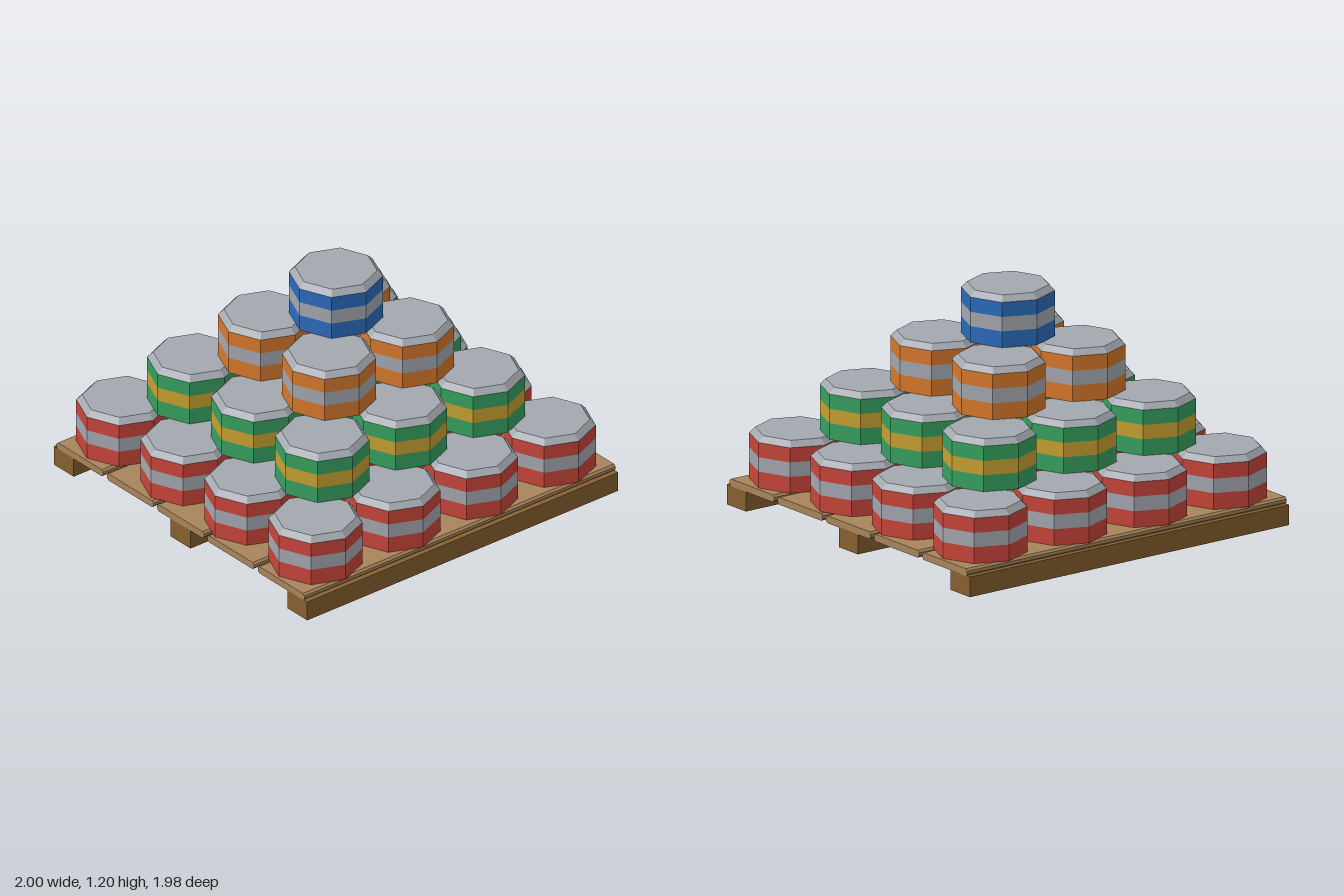
import * as THREE from 'three';

const flat = (name, color) => new THREE.MeshStandardMaterial({ name, color, flatShading: true });

export function createModel() {
  const mats = {
    metal: flat('metal grey', 0xa3a8af),
    red: flat('red paint', 0xc8453a),
    green: flat('green paint', 0x36a05f),
    yellow: flat('yellow paint', 0xc8a030),
    orange: flat('orange paint', 0xd6782c),
    blue: flat('blue paint', 0x2b6bbd),
    slat: flat('light wood', 0xa8845a),
    beam: flat('dark wood', 0x86602f),
  };

  const model = new THREE.Group();
  model.name = 'barrelPyramid';
  const add = (parent, name, geometry, material, x, y, z) => {
    const mesh = new THREE.Mesh(geometry, material);
    mesh.name = name;
    mesh.position.set(x, y, z);
    parent.add(mesh);
    return mesh;
  };

  // Pallet: three beams carrying five slats with bevelled long edges
  const pallet = new THREE.Group();
  pallet.name = 'pallet';
  model.add(pallet);
  const beamGeo = new THREE.BoxGeometry(2, 0.105, 0.156);
  for (const z of [-0.912, 0, 0.912]) add(pallet, 'beam', beamGeo, mats.beam, 0, 0.0525, z);

  const w = 0.182, h = 0.019, b = 0.011;
  const profile = new THREE.Shape([
    [-w, -h + b], [-w + b, -h], [w - b, -h], [w, -h + b],
    [w, h - b], [w - b, h], [-w + b, h], [-w, h - b],
  ].map(([x, y]) => new THREE.Vector2(x, y)));
  const slatGeo = new THREE.ExtrudeGeometry(profile, { depth: 2, bevelEnabled: false });
  slatGeo.translate(0, 0, -1).rotateY(Math.PI / 2);
  for (let i = -2; i <= 2; i++) add(pallet, 'slat', slatGeo, mats.slat, 0, 0.121, i * 0.393);

  // Octagonal barrel, with its base at y = 0
  const R = 0.235, RIM = 0.205, SIDES = 8, HEIGHT = 0.266;
  const levels = [0, 0.085, 0.16, 0.236, HEIGHT];
  const ring = (i, top) =>
    new THREE.CylinderGeometry(top, R, levels[i + 1] - levels[i], SIDES, 1, true);
  const bands = [ring(0, R), ring(1, R), ring(2, R), ring(3, RIM)];
  const discGeo = (r, up) =>
    new THREE.CircleGeometry(r, SIDES).rotateX(up ? -Math.PI / 2 : Math.PI / 2);
  const lidGeo = discGeo(RIM, true);
  const baseGeo = discGeo(R, false);

  function barrel(paint, stripe) {
    const group = new THREE.Group();
    group.name = 'barrel';
    const parts = [['lowerBand', paint], ['stripe', stripe], ['upperBand', paint], ['rim', mats.metal]];
    parts.forEach(([name, material], i) =>
      add(group, name, bands[i], material, 0, (levels[i] + levels[i + 1]) / 2, 0));
    add(group, 'lid', lidGeo, mats.metal, 0, HEIGHT, 0);
    add(group, 'base', baseGeo, mats.metal, 0, 0, 0);
    return group;
  }

  // Four square tiers: 4x4, 3x3, 2x2 and a single barrel on top
  const tiers = [
    [mats.red, mats.metal], [mats.green, mats.yellow],
    [mats.orange, mats.metal], [mats.blue, mats.metal],
  ];
  tiers.forEach(([paint, stripe], t) => {
    const n = 4 - t;
    for (let i = 0; i < n; i++) {
      for (let j = 0; j < n; j++) {
        const unit = barrel(paint, stripe);
        unit.position.set((i - (n - 1) / 2) * 0.5, 0.14 + t * HEIGHT, (j - (n - 1) / 2) * 0.5);
        model.add(unit);
      }
    }
  });

  return model;
}
